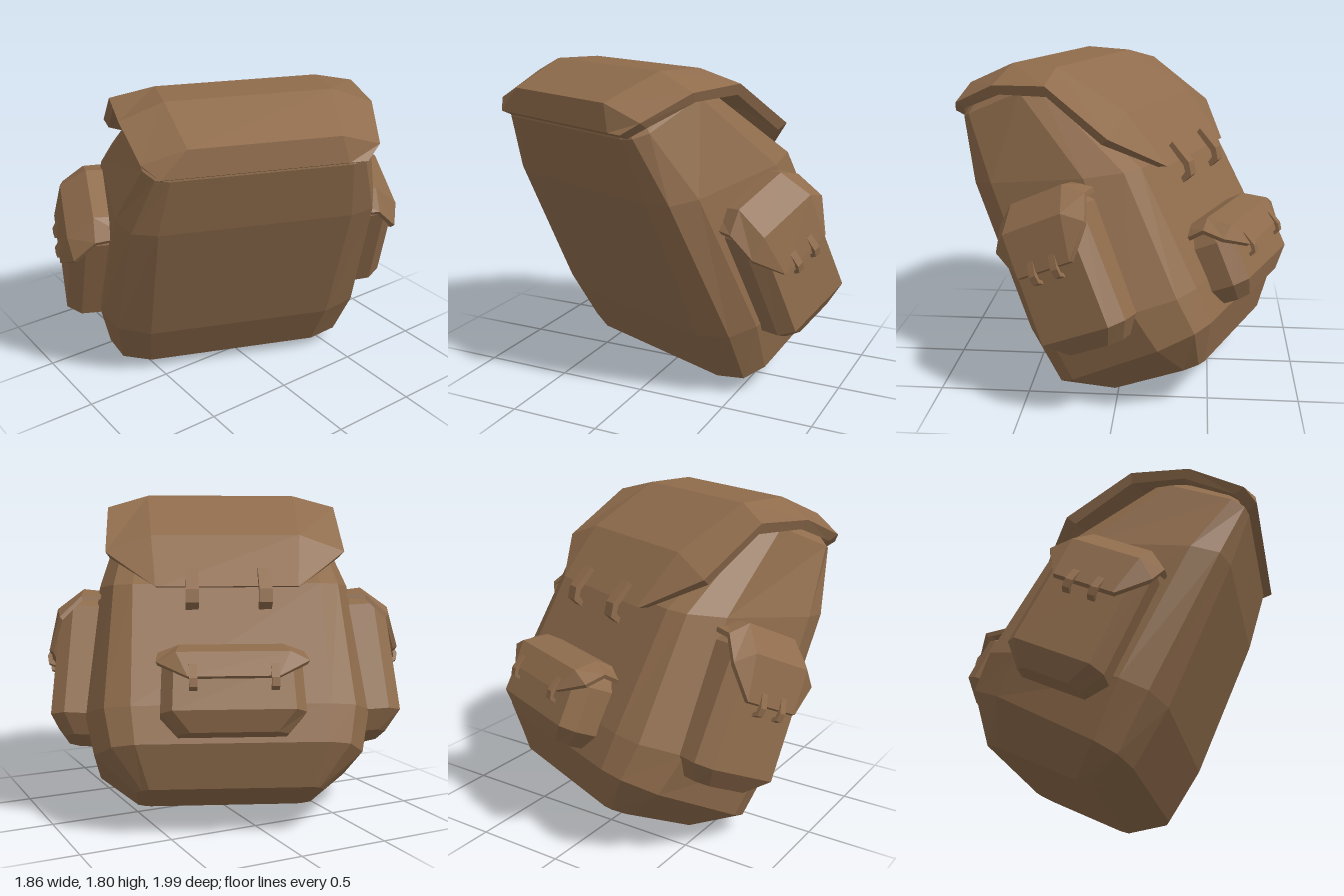
import * as THREE from 'three';

const brown = new THREE.MeshStandardMaterial({ color: 0x8f6c4c });
brown.name = 'brown canvas';

// Flat-shaded solid through rings of equal (even) point count, closed at both ends
function loft(name, rings) {
  const pos = [];
  const quad = (a, b, c, d) => [a, b, c, a, c, d].forEach(p => pos.push(...p));
  const n = rings[0].length;
  for (let i = 0; i < rings.length - 1; i++) {
    for (let j = 0; j < n; j++) {
      const k = (j + 1) % n;
      quad(rings[i][j], rings[i][k], rings[i + 1][k], rings[i + 1][j]);
    }
  }
  const first = rings[0], last = rings[rings.length - 1];
  for (let j = 0; j < n / 2 - 1; j++) {
    const k = n - 1 - j;
    quad(last[j], last[j + 1], last[k - 1], last[k]);
    quad(first[k], first[k - 1], first[j + 1], first[j]);
  }
  const geo = new THREE.BufferGeometry();
  geo.setAttribute('position', new THREE.Float32BufferAttribute(pos, 3));
  geo.computeVertexNormals();
  const mesh = new THREE.Mesh(geo, brown);
  mesh.name = name;
  return mesh;
}

// Thick faceted cover; rows run back to front, each [innerX, y, z, edgeX, y, z]
function cover(name, rows, cy, cz, thickness) {
  return loft(name, rows.map(([xi, yi, zi, xe, ye, ze]) => {
    const outer = [[xe, ye, ze], [xi, yi, zi], [-xi, yi, zi], [-xe, ye, ze]];
    const inner = outer.map(p => {
      const v = new THREE.Vector3(...p);
      const inward = new THREE.Vector3(-0.25 * v.x, cy - v.y, cz - v.z);
      return v.add(inward.setLength(thickness)).toArray();
    });
    return [...outer, ...inner.reverse()];
  }));
}

// Bent strap hook, side profile extruded across its width
function buckle(x, y, z, size, width) {
  const profile = [[-0.03, 0.1], [0, 0.115], [0.045, -0.02], [0.03, -0.09],
    [-0.03, -0.11], [-0.03, -0.08], [0.005, -0.06], [0.01, -0.02]];
  const shape = new THREE.Shape(profile.map(p => new THREE.Vector2(p[0] * size, p[1] * size)));
  const geo = new THREE.ExtrudeGeometry(shape, { depth: width, bevelEnabled: false });
  geo.translate(0, 0, -width / 2).rotateY(-Math.PI / 2);
  const mesh = new THREE.Mesh(geo, brown);
  mesh.name = 'buckle';
  mesh.position.set(x, y, z);
  return mesh;
}

// Pocket with flap and two buckles: half width h, height H, depth D, flap length L
function pocket(name, h, H, D, L, buckleX) {
  const group = new THREE.Group();
  group.name = name;
  const rows = [[0, h - 0.09, 0.66 * D], [0.1, h, 0.95 * D],
    [H - 0.14, h - 0.01, 0.94 * D], [H - 0.03, h - 0.1, 0.5 * D]];
  group.add(loft('pocketBody', rows.map(([y, w, z]) => [
    [w, y, z * 0.7], [w, y, -0.06], [-w, y, -0.06],
    [-w, y, z * 0.7], [-w + 0.06, y, z], [w - 0.06, y, z]])));
  const yb = H - L;
  group.add(cover('pocketFlap', [
    [h - 0.1, H - 0.02, -0.04, h, H - 0.07, -0.04],
    [h - 0.1, H - 0.01, 0.5 * D, h + 0.01, H - 0.24 * L, 0.5 * D],
    [h - 0.08, H - 0.38 * L, D, h + 0.02, H - 0.58 * L, 0.9 * D],
    [h * 0.6, yb, D + 0.03, h * 0.6 + 0.01, yb, D + 0.03],
  ], H * 0.4, 0, 0.025));
  for (const s of [-1, 1]) group.add(buckle(s * buckleX, yb, D + 0.02, 0.6, 0.04));
  return group;
}

export function createModel() {
  const model = new THREE.Group();
  model.name = 'backpack';
  const pack = new THREE.Group();
  pack.name = 'leaningPack';
  model.add(pack);

  // Main bag: [y back, y front, z back, z backCorner, z sideBack, z sideFront, z front,
  //            x centre panel, x backCorner, x side]
  const sections = [
    [0, 0.01, 0, 0.02, 0.08, 0.54, 0.64, 0.43, 0.46, 0.5],
    [0.16, 0.22, -0.17, -0.12, 0, 0.57, 0.8, 0.5, 0.66, 0.72],
    [0.51, 0.42, -0.21, -0.14, 0, 0.55, 0.81, 0.52, 0.7, 0.775],
    [1.37, 1.1, -0.19, -0.15, -0.01, 0.54, 0.77, 0.51, 0.64, 0.7],
    [1.72, 1.7, -0.15, -0.13, -0.06, 0.3, 0.42, 0.46, 0.53, 0.58],
    [1.8, 1.8, -0.1, -0.08, 0, 0.25, 0.33, 0.38, 0.43, 0.48],
  ];
  pack.add(loft('mainBag', sections.map(([yb, yf, zb, zc, zsb, zsf, zf, xi, xc, xo]) => {
    const half = [[xi, zb], [xc, zc], [xo, zsb], [xo, zsf],
      [xi + 0.55 * (xo - xi), zf - 0.2 * (zf - zsf)], [xi, zf]];
    const point = (s, [x, z]) => [s * x, yb + (yf - yb) * (z - zb) / (zf - zb), z];
    const left = half.map(q => point(-1, q));
    const right = half.map(q => point(1, q)).reverse();
    return [...right, ...left];
  })));

  // Lid with its long front flap
  pack.add(cover('lid', [
    [0.42, 1.77, -0.18, 0.515, 1.77, -0.18],
    [0.38, 1.89, -0.11, 0.595, 1.8, -0.1],
    [0.43, 1.876, 0.235, 0.655, 1.79, 0.21],
    [0.43, 1.755, 0.48, 0.66, 1.67, 0.51],
    [0.41, 1.39, 0.755, 0.66, 1.3, 0.735],
    [0.375, 1.055, 0.85, 0.39, 1.055, 0.85],
  ], 1.2, 0.29, 0.06));
  for (const s of [-1, 1]) pack.add(buckle(s * 0.195, 1.045, 0.85, 1, 0.07));

  // Front pocket
  const front = pocket('frontPocket', 0.37, 0.48, 0.245, 0.22, 0.205);
  front.position.set(0, 0.25, 0.775);
  pack.add(front);

  // Mirrored side pockets
  for (const s of [-1, 1]) {
    const side = pocket(s > 0 ? 'sidePocketA' : 'sidePocketB', 0.27, 0.85, 0.27, 0.38, 0.07);
    side.rotation.set(-0.06, s * Math.PI / 2, 0, 'YXZ');
    side.position.set(s * 0.71, 0.335, 0.3);
    pack.add(side);
  }

  // Turn and lean the whole pack
  pack.rotation.set(-25 * Math.PI / 180, -112 * Math.PI / 180, 0, 'YXZ');
  pack.position.set(-0.105, 0, 0);
  return model;
}
